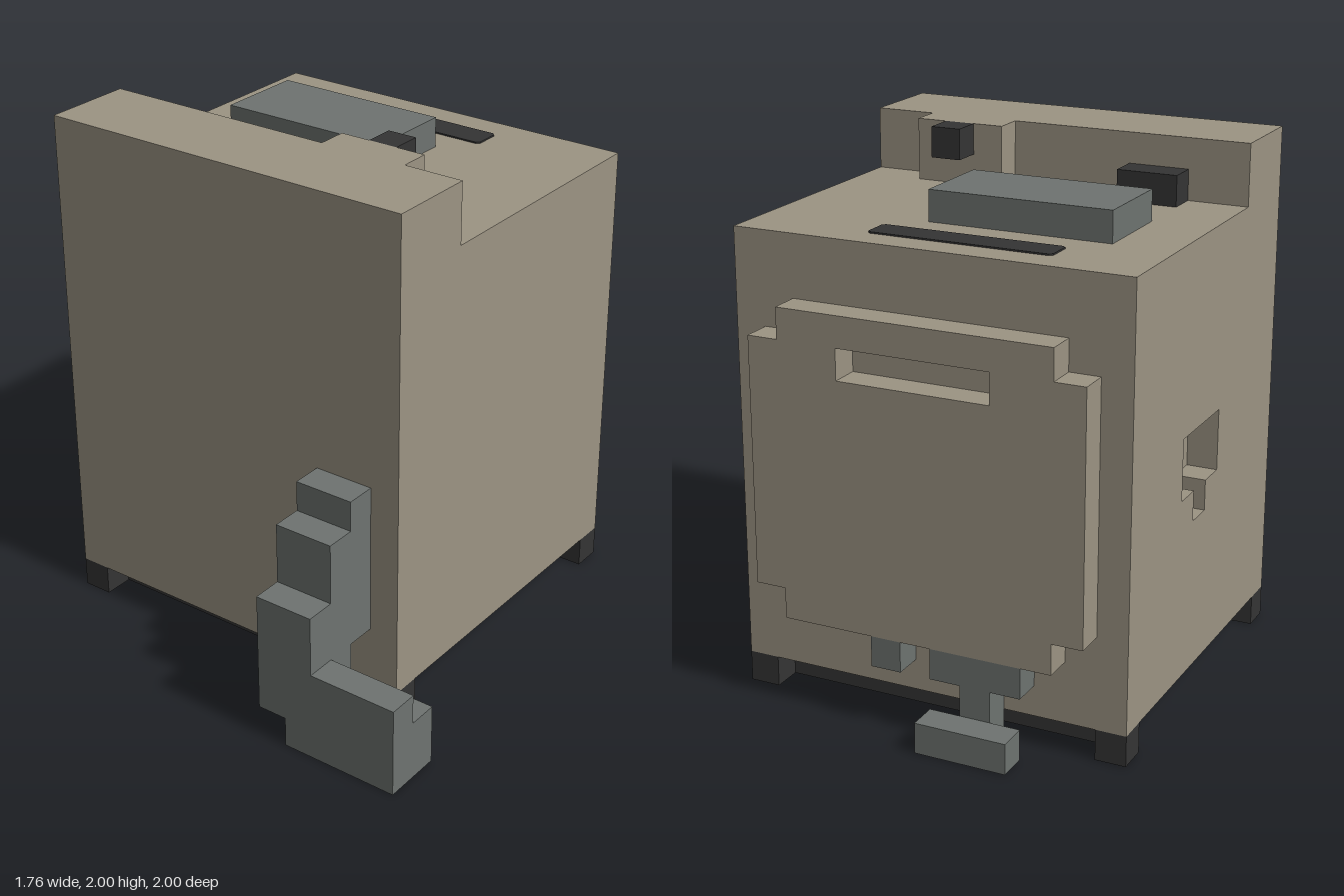
import * as THREE from 'three';

const U = 2 / 17; // block size that every part snaps to

const material = (name, color) => {
  const m = new THREE.MeshStandardMaterial({ color });
  m.name = name;
  return m;
};

export function createModel() {
  const beige = material('beige casing', 0x9c9483);
  const grey = material('grey fittings', 0x6e7370);
  const dark = material('dark trim', 0x343434);
  const model = new THREE.Group();

  const add = (parent, name, geometry, mat) => {
    const mesh = new THREE.Mesh(geometry, mat);
    mesh.name = name;
    parent.add(mesh);
    return mesh;
  };
  const group = (name) => {
    const g = new THREE.Group();
    g.name = name;
    model.add(g);
    return g;
  };
  // Box from opposite corners, in blocks
  const block = (parent, name, mat, [x0, x1], [y0, y1], [z0, z1]) => {
    const mesh = add(parent, name, new THREE.BoxGeometry((x1 - x0) * U, (y1 - y0) * U, (z1 - z0) * U), mat);
    mesh.position.set((x0 + x1) / 2 * U, (y0 + y1) / 2 * U, (z0 + z1) / 2 * U);
    return mesh;
  };
  const points = (list) => list.map(([x, y]) => new THREE.Vector2(x * U, y * U));
  // Plate one block thick (by default) with an optional hole
  const plate = (outline, hole, depth = 1) => {
    const shape = new THREE.Shape(points(outline));
    if (hole) shape.holes.push(new THREE.Path(points(hole)));
    return new THREE.ExtrudeGeometry(shape, { depth: depth * U, bevelEnabled: false });
  };

  // Casing, with a recessed socket in the right side
  const casing = group('casing');
  block(casing, 'mainBody', beige, [-6.5, 5.5], [1, 15], [-6.5, 5.5]);
  const side = add(casing, 'socketSide', plate(
    [[-6.5, 1], [5.5, 1], [5.5, 15], [-6.5, 15]],
    [[-2.5, 7], [-1.5, 7], [-1.5, 6], [-0.5, 6], [-0.5, 7], [0.5, 7], [0.5, 9], [-2.5, 9]]), beige);
  side.rotation.y = -Math.PI / 2;
  side.position.x = -6.5 * U;

  // Raised ridge along the front of the top, with a step behind it
  const ridge = add(casing, 'topRidge', plate(
    [[-7.5, -5.5], [5.5, -5.5], [5.5, -2.5], [3.5, -2.5], [3.5, -1.5], [0.5, -1.5], [0.5, -2.5], [-7.5, -2.5]],
    null, 2), beige);
  ridge.rotation.x = -Math.PI / 2;
  ridge.position.y = 15 * U;

  // Controls and fittings on the top
  block(model, 'knob', dark, [1.5, 2.5], [16, 17], [0.5, 1.5]);
  block(model, 'switch', dark, [-5.5, -3.5], [15, 16], [1.5, 2.5]);
  block(model, 'topBox', grey, [-5.5, 0.5], [15, 16], [-3.5, -0.5]);
  const slot = add(model, 'topSlot', plate(
    [[-4.4, 4.5], [1.4, 4.5], [1.5, 4.6], [1.5, 5.4], [1.4, 5.5], [-4.4, 5.5], [-4.5, 5.4], [-4.5, 4.6]],
    null, 0.05), dark);
  slot.rotation.x = -Math.PI / 2;
  slot.position.y = 15 * U;

  // Base and corner feet
  block(model, 'base', dark, [-6.5, 4.5], [0, 1], [-5.5, 4.5]);
  for (const x of [-7.5, 4.5])
    for (const z of [-6.5, 4.5]) block(model, 'foot', dark, [x, x + 1], [0, 1], [z, z + 1]);

  // Back panel with notched corners and a finger slot
  const panel = add(model, 'backPanel', plate(
    [[-5.5, 3], [3.5, 3], [3.5, 4], [4.5, 4], [4.5, 12], [3.5, 12], [3.5, 13],
      [-5.5, 13], [-5.5, 12], [-6.5, 12], [-6.5, 4], [-5.5, 4]],
    [[-3.5, 11], [1.5, 11], [1.5, 12], [-3.5, 12]]), beige);
  panel.position.z = -7.5 * U;

  // Rear outlet and pedal under the panel
  block(model, 'rearPlug', grey, [-0.5, 0.5], [2, 3], [-7.5, -6.5]);
  const pedal = group('rearPedal');
  block(pedal, 'pedalMount', grey, [-4.5, -1.5], [2, 3], [-7.5, -6.5]);
  block(pedal, 'pedalStem', grey, [-3.5, -2.5], [0, 2], [-7.5, -6.5]);
  block(pedal, 'pedalBar', grey, [-4.5, -1.5], [0, 1], [-8.5, -7.5]);

  // Stepped hose on the front, ending in a nozzle to the left
  const hose = group('frontHose');
  block(hose, 'hoseTop', grey, [2.5, 4.5], [3, 8], [5.5, 6.5]);
  block(hose, 'hoseMiddle', grey, [2.5, 4.5], [1, 7], [6.5, 7.5]);
  block(hose, 'hoseFront', grey, [2.5, 4.5], [1, 5], [7.5, 8.5]);
  block(hose, 'nozzleFront', grey, [3.5, 7.5], [0, 3], [7.5, 8.5]);
  block(hose, 'nozzleBack', grey, [3.5, 7.5], [0, 2], [6.5, 7.5]);

  return model;
}
